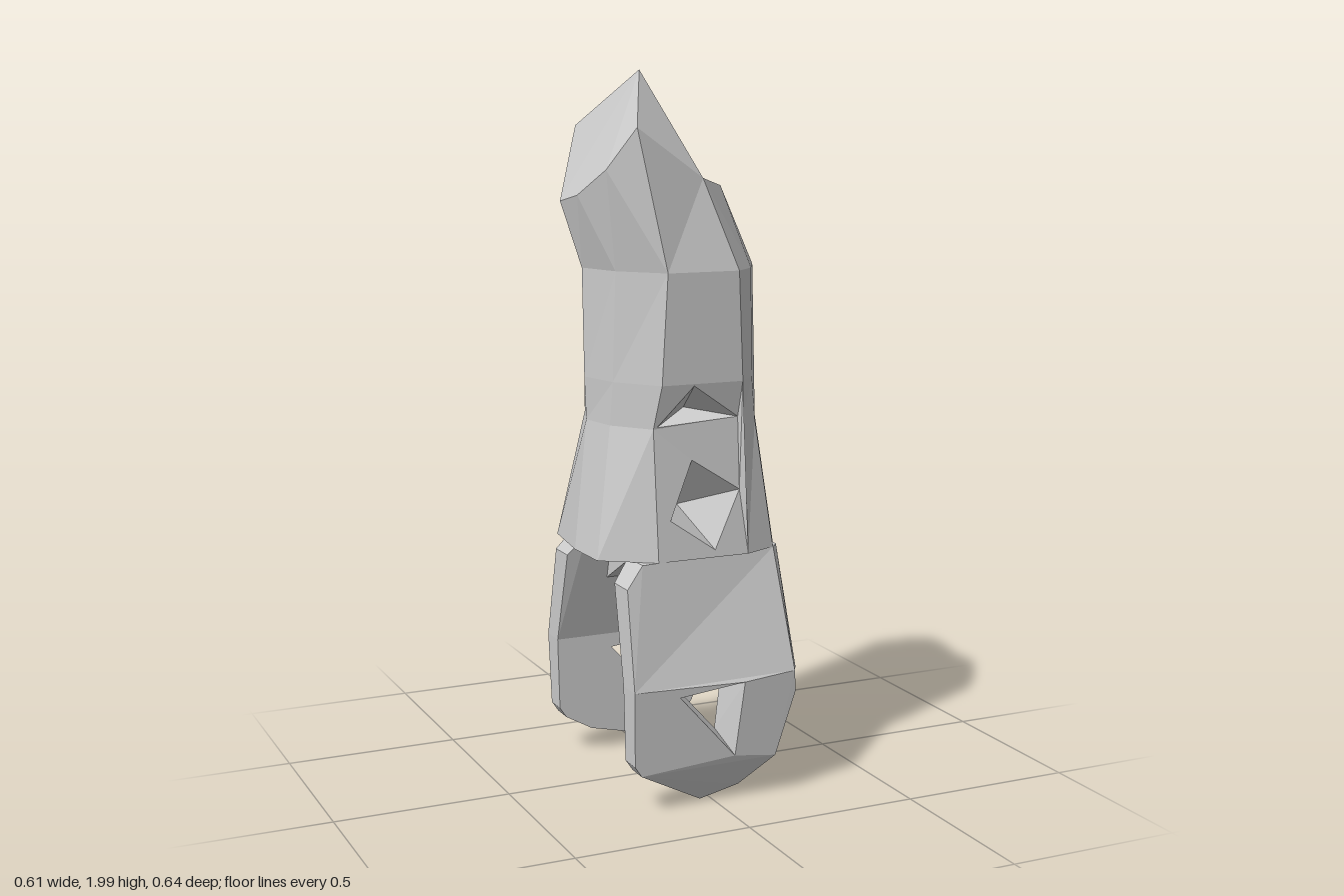
import * as THREE from 'three';
import { ConvexGeometry } from 'three/addons/geometries/ConvexGeometry.js';

const material = new THREE.MeshStandardMaterial({ color: 0xcccccc, flatShading: true, side: THREE.DoubleSide });
const V = (x, y, z) => new THREE.Vector3(x, y, z);

function add(parent, geometry, name) {
  const flat = geometry.index ? geometry.toNonIndexed() : geometry;
  flat.computeVertexNormals();
  const mesh = new THREE.Mesh(flat, material);
  mesh.name = name;
  parent.add(mesh);
}

function fromTriangles(points) {
  return new THREE.BufferGeometry().setFromPoints(points);
}

// Joins closed cross-sections from bottom to top; one side may be left open
function loft(rings, skip = -1) {
  const out = [], n = rings[0].length;
  for (let r = 0; r + 1 < rings.length; r++) {
    const a = rings[r], b = rings[r + 1];
    for (let i = 0; i < n; i++) {
      if (i === skip) continue;
      const j = (i + 1) % n;
      out.push(a[i], a[j], b[j], a[i], b[j], b[i]);
    }
  }
  const top = rings[rings.length - 1], low = rings[0];
  const flat = (ring) => ring.map((p) => new THREE.Vector2(p.x, -p.z));
  for (const t of THREE.ShapeUtils.triangulateShape(flat(top), [])) out.push(...t.map((i) => top[i]));
  for (const t of THREE.ShapeUtils.triangulateShape(flat(low), [])) out.push(...t.reverse().map((i) => low[i]));
  return fromTriangles(out);
}

// Linear interpolation through [position, value] pairs
function along(pairs, t) {
  for (let i = 1; i < pairs.length; i++) {
    const [a, va] = pairs[i - 1], [b, vb] = pairs[i];
    if (t <= b) return THREE.MathUtils.mapLinear(Math.max(t, a), a, b, va, vb);
  }
  return pairs[pairs.length - 1][1];
}

const polygon = (C, pts) => new C(pts.map(([x, y]) => new THREE.Vector2(x, y)));

// Moves every vertex to the place the rule returns
function reshape(geometry, rule) {
  const p = geometry.attributes.position;
  for (let i = 0; i < p.count; i++) p.setXYZ(i, ...rule(p.getX(i), p.getY(i), p.getZ(i)));
  return geometry;
}

const ring = (y, pts) => pts.map(([x, z]) => V(x, y, z));
const bodyRings = [
  ring(0.69, [[-0.15, 0.245], [0.12, 0.245], [0.22, 0.2], [0.26, 0.12], [0.245, -0.18],
    [0.14, -0.25], [-0.12, -0.26], [-0.27, -0.2], [-0.295, 0], [-0.29, 0.15]]),
  ring(1.05, [[-0.15, 0.21], [0.115, 0.21], [0.18, 0.16], [0.225, 0.07], [0.215, -0.12],
    [0.11, -0.235], [-0.1, -0.24], [-0.2, -0.155], [-0.25, -0.02], [-0.23, 0.1]]),
  ring(1.17, [[-0.135, 0.235], [0.105, 0.235], [0.17, 0.16], [0.223, 0.07], [0.21, -0.12],
    [0.11, -0.235], [-0.1, -0.24], [-0.195, -0.155], [-0.255, -0.02], [-0.225, 0.11]]),
  ring(1.47, [[-0.12, 0.24], [0.09, 0.24], [0.16, 0.17], [0.22, 0.06], [0.2, -0.125],
    [0.1, -0.24], [-0.09, -0.25], [-0.19, -0.155], [-0.26, -0.02], [-0.22, 0.12]]),
];

function buildBody(parent) {
  add(parent, loft(bodyRings, 0), 'body');

  // Front panel with two angular pits
  const frontZ = (y) => along(bodyRings.map((r) => [r[0].y, r[0].z]), y);
  const pits = [
    { rim: [[-0.14, 1.055], [0.1, 1.07], [-0.04, 1.165]], apex: V(-0.02, 1.09, 0.12) },
    { rim: [[-0.11, 0.8], [0.02, 0.71], [0.1, 0.87], [-0.04, 0.96]], apex: V(-0.04, 0.82, 0.12) },
  ];
  const edge = [...bodyRings.map((r) => r[1]), ...bodyRings.map((r) => r[0]).reverse()];
  const panel = polygon(THREE.Shape, edge.map((p) => [p.x, p.y]));
  panel.holes = pits.map((p) => polygon(THREE.Path, p.rim));
  add(parent, reshape(new THREE.ShapeGeometry(panel), (x, y) => [x, y, frontZ(y)]), 'frontPanel');
  for (const { rim, apex } of pits) {
    const corners = rim.map(([x, y]) => V(x, y, frontZ(y)));
    const tris = corners.flatMap((c, i) => [c, corners[(i + 1) % corners.length], apex]);
    add(parent, fromTriangles(tris), 'frontPit');
  }
}

function buildHead(parent) {
  const base = bodyRings[bodyRings.length - 1];
  const ledge = [V(0.11, 1.69, 0.08), V(0.12, 1.665, -0.11), V(0.01, 1.71, -0.2), V(0.01, 1.715, 0.18)];
  const tip = [V(-0.125, 2, 0.065), V(-0.07, 1.965, -0.11), V(-0.19, 1.85, 0.2), V(-0.2, 1.85, -0.21),
    V(0.01, 1.715, 0.18), V(0.01, 1.71, -0.2), V(-0.04, 1.87, -0.2), V(-0.31, 1.65, -0.05),
    V(-0.3, 1.67, 0.05), V(-0.26, 1.74, 0.155)];
  add(parent, new ConvexGeometry([...base, ...ledge]), 'headLedge');
  add(parent, new ConvexGeometry([...base.filter((p) => p.x < 0), ...tip]), 'headTip');
}

function buildForkArm(side) {
  const arm = new THREE.Group();
  arm.name = side > 0 ? 'frontForkArm' : 'rearForkArm';

  // Side plate in three bands, bulging outward, with a funnel-shaped opening in the middle band
  const foot = side > 0 ? [[-0.03, 0.008], [0.08, 0.04]] : [[-0.15, 0.075], [0, 0.04], [0.1, 0.015]];
  const upper = polygon(THREE.Shape, [[-0.255, 0.36], [0.235, 0.36], [0.22, 0.69], [-0.2, 0.69], [-0.25, 0.63]]);
  const middle = polygon(THREE.Shape, [[-0.25, 0.15], [-0.23, 0.12], [0.18, 0.12], [0.24, 0.3], [0.235, 0.36], [-0.255, 0.36]]);
  const lower = polygon(THREE.Shape, [[-0.23, 0.12], ...foot, [0.18, 0.12]]);
  middle.holes = [polygon(THREE.Path, [[-0.12, 0.33], [0.075, 0.35], [0.05, 0.14]])];
  const outer = [[0, 0.25], [0.04, 0.27], [0.12, 0.31], [0.36, 0.322], [0.69, 0.25]];
  const inner = [[0, 0.245], [0.45, 0.245], [0.69, 0.15]];
  const taper = [[0.36, 0.08], [0.69, 0.35]];
  const plateRule = (x, y, z) => {
    if (z > 0.5) return [x, y, along(outer, y) - Math.max(0, x - 0.08) * along(taper, y)];
    return [x, y, along(inner, y)];
  };
  // The inner rim of the opening is drawn in towards its centre
  const middleRule = (x, y, z) => {
    const rim = z < 0.5 && Math.abs(x) < 0.15;
    return rim ? plateRule((x - 0.02) * 0.6, 0.3 + (y - 0.3) * 0.6, z) : plateRule(x, y, z);
  };
  const bands = [['plateTop', upper, plateRule], ['plateMiddle', middle, middleRule], ['plateFoot', lower, plateRule]];
  for (const [name, shape, rule] of bands) {
    add(arm, reshape(new THREE.ExtrudeGeometry(shape, { depth: 1, bevelEnabled: false }), rule), name);
  }

  // Wall wrapping round the +x side
  const wall = [
    [V(0.235, 0.36, 0.309), V(0.285, 0.34, 0.22), V(0.303, 0.43, 0.07)],
    [V(0.22, 0.69, 0.201), V(0.245, 0.69, 0.17), V(0.255, 0.69, 0.065)],
  ].map(([a, b, c]) => [a, b, c, V(c.x - 0.04, c.y, c.z), V(b.x - 0.04, b.y, b.z - 0.02), V(a.x - 0.02, a.y, a.z - 0.06)]);
  add(arm, loft(wall), 'sideWall');
  arm.scale.z = side;
  return arm;
}

export function createModel() {
  const model = new THREE.Group();
  model.name = 'jointedSegment';
  buildHead(model);
  buildBody(model);
  for (const side of [1, -1]) model.add(buildForkArm(side));

  // Arched bridge between the arms under the body
  const arch = polygon(THREE.Shape, [[-0.24, 0.52], [-0.06, 0.62], [0.06, 0.62], [0.24, 0.52], [0.17, 0.69], [-0.17, 0.69]]);
  const bridge = new THREE.ExtrudeGeometry(arch, { depth: 0.27, bevelEnabled: false });
  bridge.rotateY(Math.PI / 2).translate(-0.12, 0, 0);
  add(model, bridge, 'bridge');
  return model;
}
